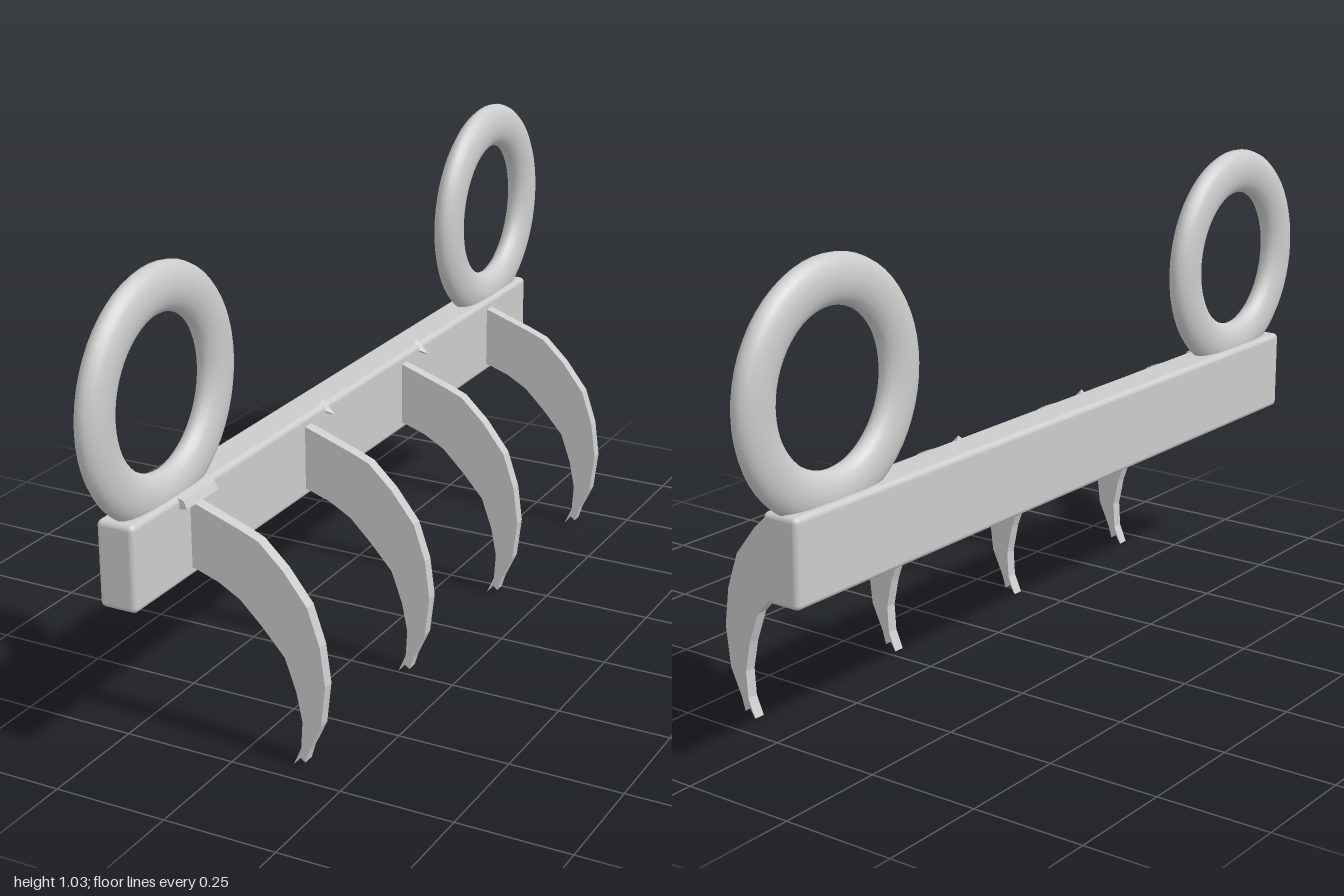
import * as THREE from 'three';
import { RoundedBoxGeometry } from 'three/addons/geometries/RoundedBoxGeometry.js';

const material = new THREE.MeshStandardMaterial({ color: 0xcccccc });
const flat = new THREE.MeshStandardMaterial({ color: 0xcccccc, flatShading: true });

function extrude(points, depth) {
  const shape = new THREE.Shape(points.map(([x, y]) => new THREE.Vector2(x, y)));
  return new THREE.ExtrudeGeometry(shape, { depth, bevelEnabled: false }).translate(0, 0, -depth / 2);
}

export function createModel() {
  const model = new THREE.Group();
  const add = (name, geometry, mat, x, y, z) => {
    const mesh = new THREE.Mesh(geometry, mat);
    mesh.name = name;
    mesh.position.set(x, y, z);
    model.add(mesh);
    return mesh;
  };

  // Grip bar running front to back
  add('gripBar', new RoundedBoxGeometry(0.085, 0.185, 1.795, 3, 0.012), material, -0.152, 0.465, 0.006);

  // Finger rings, flattened across their thickness
  const ring = new THREE.TorusGeometry(0.21, 0.051, 20, 56).rotateY(Math.PI / 2).scale(0.6, 1, 1);
  for (const z of [0.739, -0.739]) add('ring', ring, material, -0.15, 0.77, z);

  // Curved claws with a split tip
  const claw = extrude([
    [-0.125, 0.395], [-0.1, 0.39], [-0.05, 0.373], [0, 0.345], [0.05, 0.296], [0.1, 0.24],
    [0.125, 0.17], [0.138, 0.105], [0.134, 0.045], [0.116, 0.004], [0.13, 0.025], [0.143, 0.015],
    [0.152, 0.045], [0.18, 0.105], [0.191, 0.195], [0.18, 0.28], [0.153, 0.36], [0.1, 0.428],
    [0.045, 0.48], [0, 0.498], [-0.1, 0.533], [-0.125, 0.54],
  ], 0.026);
  for (const z of [0.688, 0.233, -0.217, -0.676]) add('claw', claw, flat, 0, 0, z);

  // Small burrs on the upper front edge of the bar
  const burr = new THREE.ConeGeometry(0.017, 0.04, 4).rotateZ(-Math.PI / 2 - 0.4);
  for (const z of [0.15, -0.3]) add('burr', burr, flat, -0.107, 0.543, z);

  // Thin weld plate above the foremost claw
  const plate = extrude([[-0.12, 0.557], [-0.12, 0.53], [-0.092, 0.536], [-0.1, 0.553]], 0.115);
  add('weldPlate', plate, flat, 0, 0, 0.682);

  return model;
}
